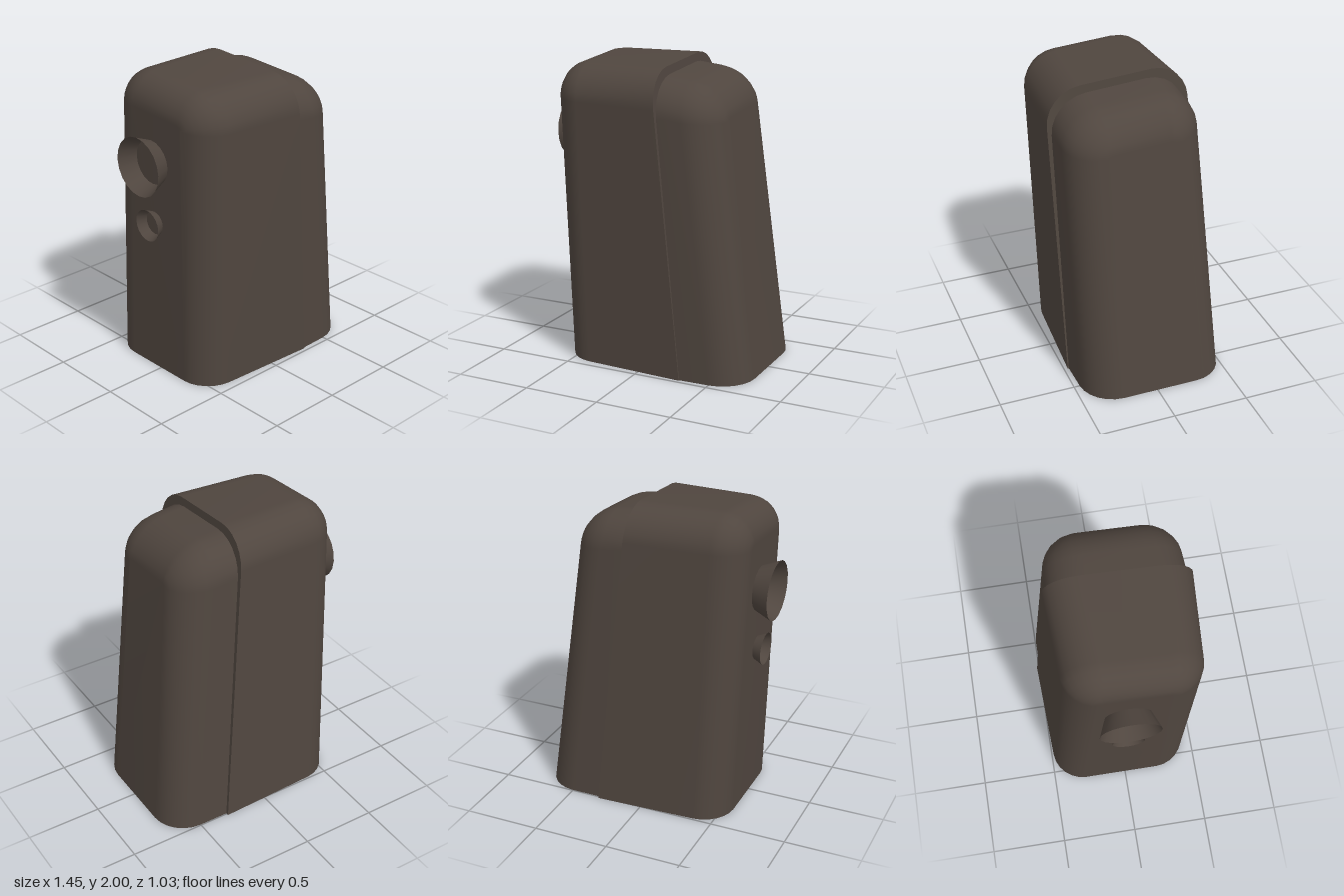
import * as THREE from 'three';

const N = 6; // segments per rounded corner
const seamX = (y) => 0.3 - 0.088 * y;

// Arch section running front bottom -> top -> back bottom, inset by d at distance s from the seam
function arch(shell, d, s) {
  const pts = [];
  const r = Math.max(shell.corner - d, 0.004);
  const top = 2 - d;
  const add = (side, inward, h) => { // side +1 front, -1 back
    const f = shell.front(h) - shell.taperF * s;
    const b = shell.back(h) + shell.taperB * s;
    const z = side > 0 ? f - d - inward : b + d + inward;
    pts.push([(h / 2) * shell.top(z, s), z]);
  };
  add(1, 0, 0);
  for (let i = 0; i <= N; i++) {
    const a = (i / N) * Math.PI / 2;
    add(1, r * (1 - Math.cos(a)), top - r * (1 - Math.sin(a)));
  }
  for (let i = N; i >= 0; i--) {
    const a = (i / N) * Math.PI / 2;
    add(-1, r * (1 - Math.cos(a)), top - r * (1 - Math.sin(a)));
  }
  add(-1, 0, 0);
  return pts;
}

// Joins equal-length rows of points, optionally closing the last row with a fan
function loft(rows, flip, capped) {
  const n = rows[0].length;
  const index = [];
  const tri = (a, b, c) => (flip ? index.push(a, c, b) : index.push(a, b, c));
  for (let k = 0; k < rows.length - 1; k++) {
    for (let i = 0; i < n - 1; i++) {
      const a = k * n + i, b = a + n;
      tri(a, b, a + 1);
      tri(a + 1, b, b + 1);
    }
  }
  if (capped) {
    const o = (rows.length - 1) * n;
    for (let i = 1; i < n - 1; i++) tri(o, o + i + 1, o + i);
  }
  const g = new THREE.BufferGeometry();
  g.setAttribute('position', new THREE.Float32BufferAttribute(rows.flat(2), 3));
  g.setIndex(index);
  g.computeVertexNormals();
  return g;
}

const seamRow = (shell) => arch(shell, 0, 0).map(([y, z]) => [seamX(y), y, z]);

// Half housing: seam arch, rounded end edge, flat end wall
function shellGeometry(shell) {
  const rows = [seamRow(shell)];
  for (let k = 0; k <= N; k++) {
    const t = (k / N) * Math.PI / 2;
    const d = shell.round * (1 - Math.cos(t));
    const back = shell.round * (1 - Math.sin(t));
    const s = Math.abs(shell.end(1) - seamX(1)) - back;
    rows.push(arch(shell, d, s).map(([y, z]) => [shell.end(y) - shell.dir * back, y, z]));
  }
  return loft(rows, shell.dir < 0, true);
}

export function createModel() {
  const group = new THREE.Group();
  const brown = new THREE.MeshStandardMaterial({ color: 0x50463f, side: THREE.DoubleSide });
  brown.name = 'dark brown';
  const add = (name, geometry) => {
    const mesh = new THREE.Mesh(geometry, brown);
    mesh.name = name;
    group.add(mesh);
    return mesh;
  };

  const rightShell = {
    dir: -1, corner: 0.225, round: 0.2, taperF: 0.06, taperB: 0.045,
    front: (h) => 0.475 + 0.025 * h,
    back: (h) => -0.515 + 0.06 * h,
    top: (z) => 1.985 - 0.073 * z,
    end: (y) => -0.57 - 0.025 * y,
  };
  const leftShell = {
    dir: 1, corner: 0.235, round: 0.22, taperF: 0.035, taperB: 0,
    front: (h) => 0.467 + 0.014 * h,
    back: (h) => -0.495 + 0.064 * h,
    top: (z, s) => 1.932 - 0.075 * z - 0.1 * s,
    end: (y) => 0.72 - 0.1125 * y,
  };
  add('rightShell', shellGeometry(rightShell));
  add('leftShell', shellGeometry(leftShell));

  // Step between the two shells
  add('seamLip', loft([seamRow(rightShell), seamRow(leftShell)], false, false));

  // Open flared sockets on the right end wall
  const socket = (name, y, rOuter, rInner, length) => {
    const g = new THREE.CylinderGeometry(rOuter, rInner, length, 20, 1, true);
    g.translate(0, length / 2, 0);
    const mesh = add(name, g);
    mesh.rotation.z = Math.PI / 2 + 0.025;
    mesh.position.set(rightShell.end(y) + 0.004, y, 0);
  };
  socket('largeSocket', 1.47, 0.193, 0.143, 0.118);
  socket('smallSocket', 1.06, 0.105, 0.075, 0.065);

  return group;
}
